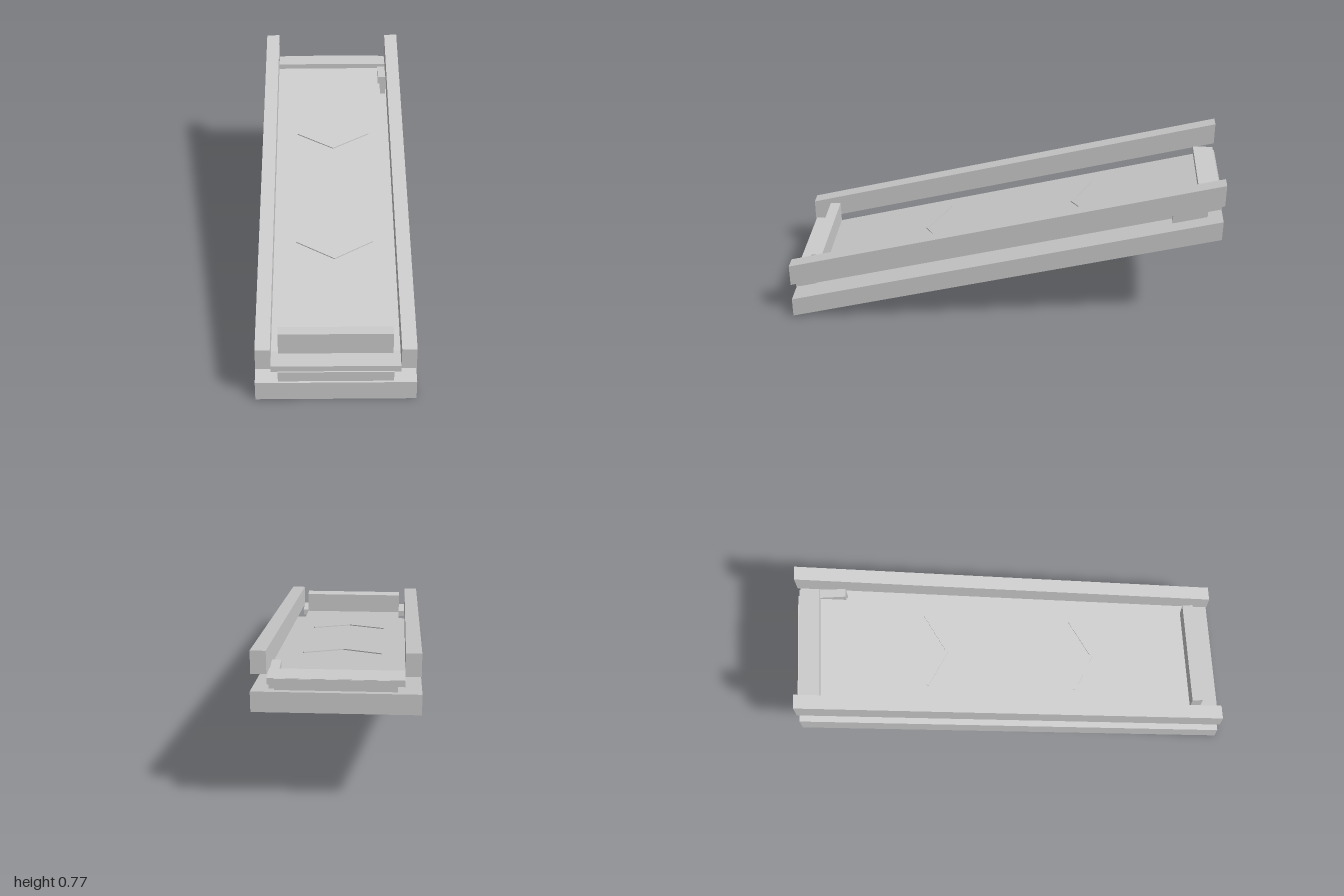
import * as THREE from 'three';

const SLOPE = 0.25; // rise per unit towards the back

export function createModel() {
  const model = new THREE.Group();
  const material = new THREE.MeshStandardMaterial({ color: 0xcccccc, flatShading: true });

  function add(name, geometry) {
    const mesh = new THREE.Mesh(geometry, material);
    mesh.name = name;
    model.add(mesh);
  }

  // Level box given by its limits on each axis
  function block(name, [x0, x1], [y0, y1], [z0, z1]) {
    const g = new THREE.BoxGeometry(x1 - x0, y1 - y0, z1 - z0);
    g.translate((x0 + x1) / 2, (y0 + y1) / 2, (z0 + z1) / 2);
    add(name, g);
  }

  // Tilts a geometry along the ramp while its upright ends stay upright
  function shear(g) {
    const p = g.attributes.position;
    for (let i = 0; i < p.count; i++) p.setY(i, p.getY(i) + SLOPE * (1 - p.getZ(i)));
    g.computeVertexNormals();
    return g;
  }

  // Full-length sloping beam; heights are those at its front end
  function beam(name, [x0, x1], [y0, y1]) {
    const g = new THREE.BoxGeometry(x1 - x0, y1 - y0, 2);
    g.translate((x0 + x1) / 2, (y0 + y1) / 2, 0);
    add(name, shear(g));
  }

  beam('base', [-0.35, 0.35], [0, 0.093]);
  beam('rampPanel', [-0.25, 0.25], [0.102, 0.152]);
  beam('leftRail', [0.28, 0.345], [0.172, 0.275]);
  beam('rightRail', [-0.345, -0.28], [0.172, 0.275]);

  // Cross bars and the thin spacers under the panel ends
  block('frontCrossBar', [-0.28, 0.28], [0.15, 0.181], [0.895, 0.995]);
  block('backCrossBar', [-0.28, 0.28], [0.623, 0.652], [-0.995, -0.9]);
  block('frontSpacer', [-0.24, 0.24], [0.097, 0.13], [0.9, 0.99]);

  // Stop board at the low end and the small post at the high end
  block('stopBoard', [-0.25, 0.25], [0.17, 0.287], [0.86, 0.91]);
  block('cornerPost', [0.24, 0.28], [0.537, 0.637], [-0.935, -0.78]);

  // Raised chevrons pointing down the ramp
  for (const tip of [-0.31, 0.39]) {
    const shape = new THREE.Shape([
      [0, tip], [0.18, tip - 0.1], [0.174, tip - 0.111],
      [0, tip - 0.014], [-0.174, tip - 0.111], [-0.18, tip - 0.1],
    ].map(([x, z]) => new THREE.Vector2(x, -z)));
    const g = new THREE.ExtrudeGeometry(shape, { depth: 0.009, bevelEnabled: false });
    g.rotateX(-Math.PI / 2).translate(0, 0.148, 0);
    add('chevron', shear(g));
  }

  return model;
}
